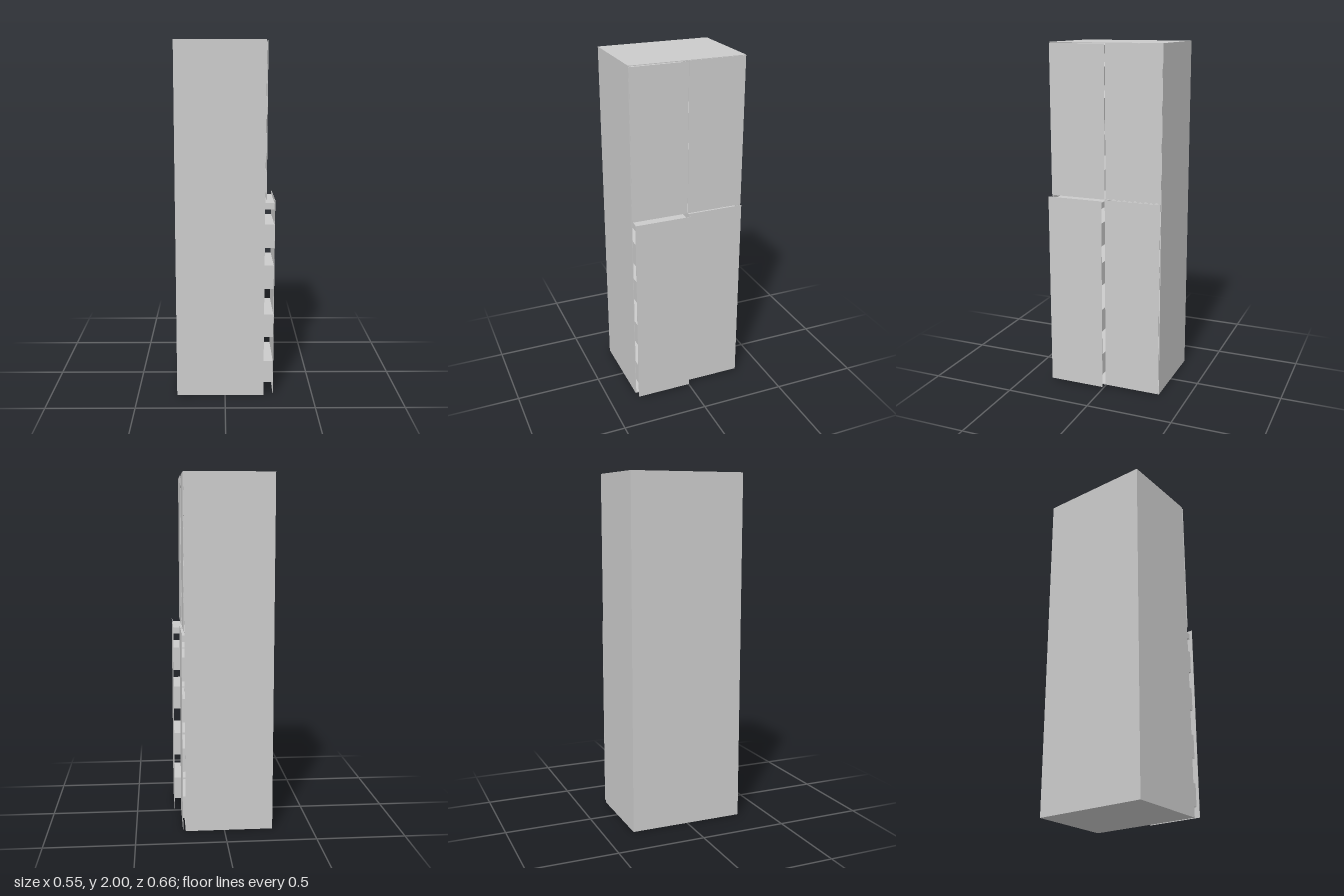
import * as THREE from 'three';

const material = new THREE.MeshStandardMaterial({ color: 0xcccccc, flatShading: true });

// Box given by its minimum and maximum corners
function box(name, [x0, y0, z0], [x1, y1, z1]) {
  const mesh = new THREE.Mesh(new THREE.BoxGeometry(x1 - x0, y1 - y0, z1 - z0), material);
  mesh.position.set((x0 + x1) / 2, (y0 + y1) / 2, (z0 + z1) / 2);
  mesh.name = name;
  return mesh;
}

const LEFT = -0.275, OPENING = 0.22, HALF = 0.332, WALL = 0.004, SPLIT = 1.14;

// Thin-walled cabinet, open on the +x side
function createCabinet() {
  const cabinet = new THREE.Group();
  cabinet.name = 'cabinet';
  cabinet.add(
    box('rearWall', [LEFT, 0, -HALF], [LEFT + WALL, 2, HALF]),
    box('sideWall', [LEFT, 0, HALF - WALL], [OPENING, 2, HALF]),
    box('sideWall', [LEFT, 0, -HALF], [OPENING, 2, -HALF + WALL]),
    box('topPanel', [LEFT, 2 - WALL, -HALF], [OPENING, 2, HALF]),
    box('bottomPanel', [LEFT, 0, -HALF], [OPENING, 0.006, HALF]),
    box('middleShelf', [LEFT, SPLIT - WALL, -HALF], [OPENING, SPLIT, HALF])
  );
  return cabinet;
}

// Pull-out unit: a thin door carrying a stack of trays
function createPullOut(name, doorX, y0, y1, side, trays) {
  const unit = new THREE.Group();
  unit.name = name;
  const span = (a, b) => (side > 0 ? [a, b] : [-b, -a]);
  const [d0, d1] = span(0.002, 0.331);
  unit.add(box('door', [doorX - 0.002, y0, d0], [doorX, y1, d1]));
  const [t0, t1] = span(0.018, 0.313);
  for (const [bottom, top] of trays) {
    unit.add(box('tray', [doorX - 0.47, bottom, t0], [doorX - 0.002, top, t1]));
  }
  return unit;
}

export function createModel() {
  const model = new THREE.Group();
  model.name = 'pantryCabinet';
  const lower = [[0.07, 0.2], [0.345, 0.48], [0.63, 0.765], [0.865, 1.0], [1.085, 1.12]];
  const upper = [[1.18, 1.3], [1.38, 1.5], [1.58, 1.7], [1.77, 1.87], [1.94, 1.985]];
  model.add(
    createCabinet(),
    createPullOut('lowerFrontPullOut', 0.275, 0.01, SPLIT - 0.002, 1, lower),
    createPullOut('lowerBackPullOut', 0.236, 0.01, SPLIT - 0.002, -1, lower),
    createPullOut('upperFrontPullOut', 0.228, SPLIT + 0.002, 1.994, 1, upper),
    createPullOut('upperBackPullOut', 0.224, SPLIT + 0.002, 1.998, -1, upper)
  );
  return model;
}
